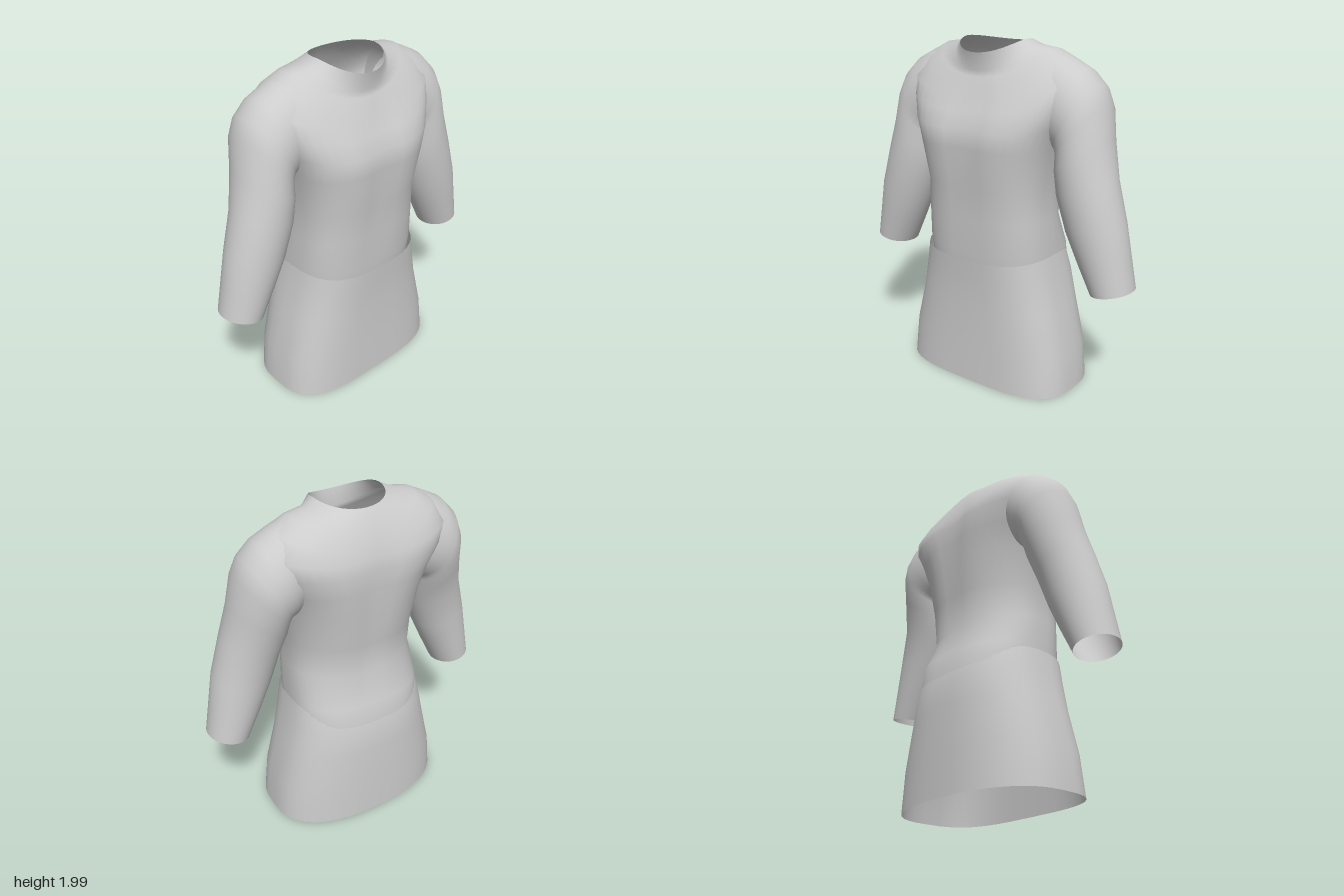
import * as THREE from 'three';

const SEG = 40;

// Skin a list of closed rings into one smooth surface
function loft(name, rings, material) {
  const pos = [], idx = [];
  rings.forEach(ring => ring.forEach(p => pos.push(...p)));
  for (let i = 0; i < rings.length - 1; i++) {
    for (let j = 0; j < SEG; j++) {
      const k = (j + 1) % SEG;
      const a = i * SEG + j, b = i * SEG + k, c = a + SEG, d = b + SEG;
      idx.push(a, c, b, b, c, d);
    }
  }
  const geo = new THREE.BufferGeometry();
  geo.setAttribute('position', new THREE.Float32BufferAttribute(pos, 3));
  geo.setIndex(idx);
  geo.computeVertexNormals();
  const mesh = new THREE.Mesh(geo, material);
  mesh.name = name;
  return mesh;
}

const angles = Array.from({ length: SEG }, (_, j) => (j / SEG) * Math.PI * 2);
const power = (v, e) => Math.sign(v) * Math.abs(v) ** e;

// Body ring: squareness of front and back, half width, front z, back z,
// height at side, front and back, centre groove depth
function bodyRing([nFront, nBack, w, zf, zb, ys, yf = ys, yb = ys, groove = 0]) {
  const mid = (zf + zb) / 2, depth = (zf - zb) / 2;
  return angles.map(t => {
    const c = Math.cos(t), s = Math.sin(t);
    const e = 2 / (s > 0 ? nFront : nBack);
    const x = w * power(c, e);
    const dip = groove * Math.exp(-((x / 0.09) ** 2)) * Math.sign(s);
    const y = ys + ((s > 0 ? yf : yb) - ys) * Math.abs(s) ** 1.6;
    return [x, y, mid + depth * power(s, e) - dip];
  });
}

// Sleeve ring: outer x, y, inner x, y, front z, back z
function sleeveRing([ox, oy, ix, iy, zf, zb], side) {
  return angles.map(t => {
    const c = Math.cos(t), s = -Math.sin(t) * side;
    return [
      side * ((ox + ix) / 2 + c * (ox - ix) / 2),
      (oy + iy) / 2 + c * (oy - iy) / 2,
      (zf + zb) / 2 + s * (zf - zb) / 2,
    ];
  });
}

export function createModel() {
  const group = new THREE.Group();
  group.name = 'tunic';
  const cloth = new THREE.MeshStandardMaterial({ color: 0xcccccc });
  cloth.name = 'greyCloth';
  cloth.side = THREE.DoubleSide;

  // Bodice, from inside the waist over the shoulder yoke to the open collar
  const bodice = [
    [2.8, 2.5, 0.398, 0.305, -0.325, 0.74, 0.70, 0.69],
    [2.8, 2.5, 0.402, 0.318, -0.308, 0.82],
    [2.8, 2.2, 0.388, 0.325, -0.24, 1.02, 1.02, 1.0, 0.008],
    [2.8, 2.2, 0.382, 0.337, -0.27, 1.2, 1.2, 1.2, 0.012],
    [2.8, 2.3, 0.42, 0.368, -0.30, 1.42, 1.43, 1.42, 0.025],
    [2.8, 2.5, 0.465, 0.36, -0.31, 1.56, 1.53, 1.56, 0.025],
    [2.6, 2.7, 0.525, 0.315, -0.315, 1.70, 1.62, 1.67, 0.025],
    [2.4, 2.7, 0.55, 0.275, -0.295, 1.815, 1.69, 1.74, 0.015],
    [2.2, 2.6, 0.47, 0.24, -0.265, 1.902, 1.76, 1.81, 0.005],
    [2.1, 2.4, 0.37, 0.218, -0.23, 1.954, 1.80, 1.88],
    [2.1, 2.1, 0.26, 0.205, -0.195, 1.97, 1.83, 1.94],
    [2.1, 2.1, 0.20, 0.225, -0.17, 1.997, 1.93, 1.97],
  ];
  group.add(loft('bodice', bodice.map(bodyRing), cloth));

  // Skirt, open at the hem
  const skirt = [
    [3.3, 2.4, 0.56, 0.33, -0.355, 0.005],
    [3.2, 2.4, 0.535, 0.325, -0.352, 0.24],
    [3.0, 2.4, 0.47, 0.322, -0.345, 0.5],
    [2.9, 2.5, 0.43, 0.33, -0.335, 0.68, 0.67, 0.64],
    [2.8, 2.5, 0.405, 0.337, -0.305, 0.81, 0.78, 0.74],
  ];
  group.add(loft('skirt', skirt.map(bodyRing), cloth));

  // Sleeves, from inside the shoulder down to the open cuff
  const sleeve = [
    [0.37, 1.948, 0.33, 1.50, 0.16, -0.20],
    [0.46, 1.91, 0.35, 1.45, 0.18, -0.22],
    [0.56, 1.86, 0.38, 1.42, 0.19, -0.23],
    [0.64, 1.78, 0.41, 1.41, 0.195, -0.23],
    [0.685, 1.68, 0.42, 1.38, 0.20, -0.22],
    [0.72, 1.50, 0.42, 1.31, 0.21, -0.185],
    [0.775, 1.30, 0.445, 1.19, 0.215, -0.13],
    [0.84, 1.08, 0.51, 1.0, 0.21, -0.11],
    [0.875, 0.90, 0.59, 0.83, 0.195, -0.10],
    [0.91, 0.72, 0.67, 0.67, 0.18, -0.09],
  ];
  for (const [name, side] of [['leftSleeve', 1], ['rightSleeve', -1]]) {
    group.add(loft(name, sleeve.map(r => sleeveRing(r, side)), cloth));
  }
  return group;
}
